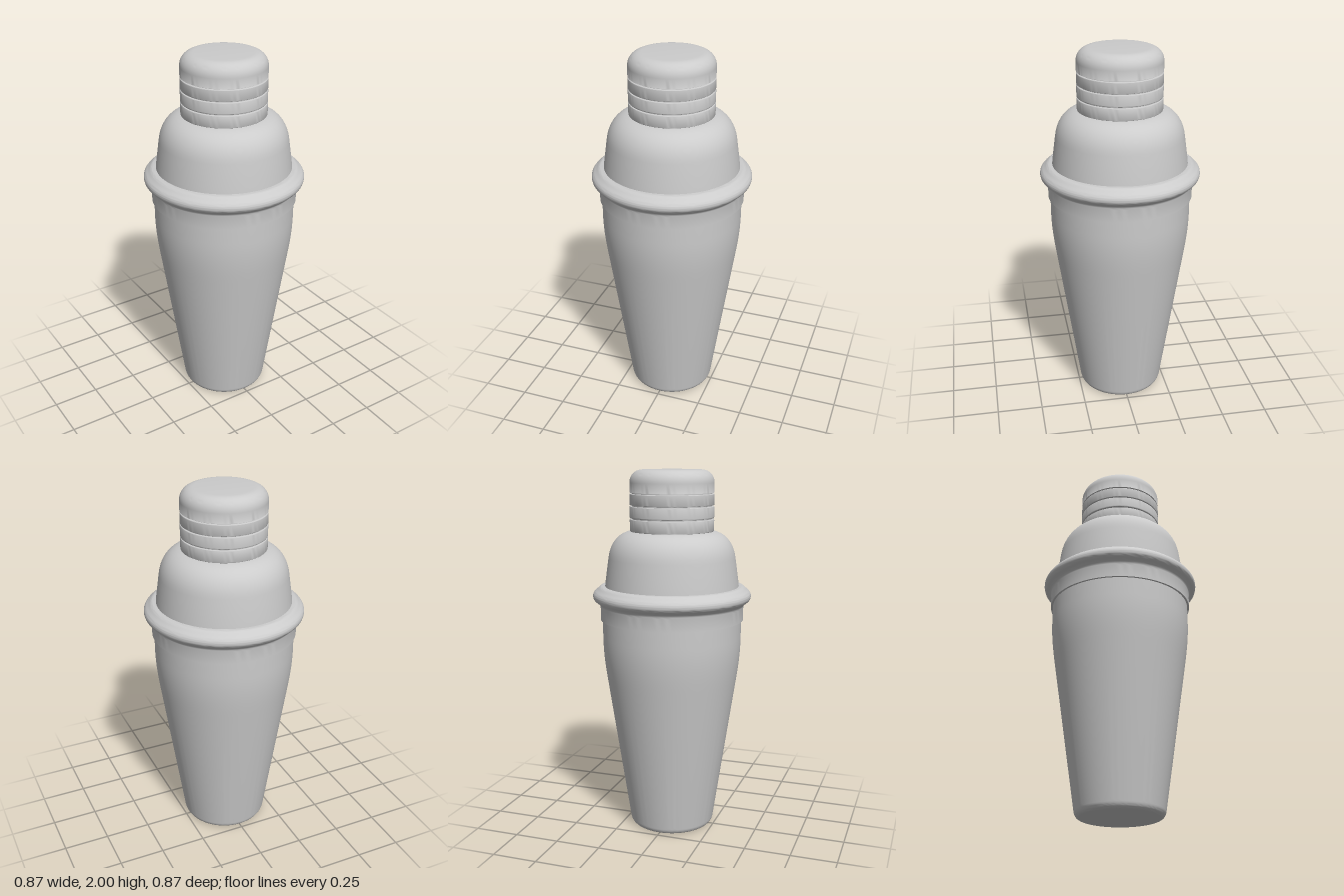
import * as THREE from 'three';
import { toCreasedNormals } from 'three/addons/utils/BufferGeometryUtils.js';

const material = new THREE.MeshStandardMaterial({ color: 0xcccccc });

// Revolves a profile drawn from bottom to top, keeping sharp corners sharp.
function turned(name, path) {
  const geometry = toCreasedNormals(new THREE.LatheGeometry(path.getPoints(10), 96), 0.6);
  const mesh = new THREE.Mesh(geometry, material);
  mesh.name = name;
  return mesh;
}

export function createModel() {
  const group = new THREE.Group();
  group.name = 'cocktailShaker';

  // Tapered cup with a rounded foot, straightening towards the rim
  const cup = new THREE.Path();
  cup.moveTo(0, 0);
  cup.lineTo(0.205, 0);
  cup.quadraticCurveTo(0.235, 0, 0.239, 0.04);
  cup.lineTo(0.358, 0.84);
  cup.bezierCurveTo(0.37, 0.92, 0.382, 1.0, 0.382, 1.1);
  cup.lineTo(0.382, 1.25);
  group.add(turned('cup', cup));

  // Collar band flaring into a rounded rim
  const collar = new THREE.Path();
  collar.moveTo(0.375, 1.193);
  collar.lineTo(0.393, 1.193);
  collar.lineTo(0.393, 1.262);
  collar.bezierCurveTo(0.393, 1.29, 0.42, 1.29, 0.43, 1.31);
  collar.bezierCurveTo(0.438, 1.33, 0.43, 1.345, 0.415, 1.356);
  collar.bezierCurveTo(0.4, 1.367, 0.395, 1.378, 0.38, 1.378);
  collar.lineTo(0.34, 1.378);
  group.add(turned('collar', collar));

  // Domed strainer shoulder
  const shoulder = new THREE.Path();
  shoulder.moveTo(0.368, 1.36);
  shoulder.lineTo(0.364, 1.4);
  shoulder.lineTo(0.346, 1.53);
  shoulder.bezierCurveTo(0.336, 1.61, 0.29, 1.674, 0.2, 1.677);
  shoulder.lineTo(0, 1.677);
  group.add(turned('shoulder', shoulder));

  // Cap: three rings parted by thin grooves, then a rounded top
  const cap = new THREE.Path();
  const r = 0.228, groove = 0.216, bevel = 0.006;
  cap.moveTo(0, 1.674);
  cap.lineTo(groove, 1.674);
  for (const [y0, y1] of [[1.674, 1.739], [1.745, 1.807], [1.813, 1.873]]) {
    cap.lineTo(groove, y0);
    cap.lineTo(r - 0.003, y0);
    cap.quadraticCurveTo(r, y0, r, y0 + bevel);
    cap.lineTo(r, y1 - bevel);
    cap.quadraticCurveTo(r, y1, r - 0.003, y1);
    cap.lineTo(groove, y1);
  }
  cap.lineTo(groove, 1.879);
  cap.lineTo(r, 1.879);
  cap.lineTo(r, 1.93);
  cap.bezierCurveTo(r, 1.968, 0.2, 2, 0.155, 2);
  cap.lineTo(0, 2);
  group.add(turned('cap', cap));

  return group;
}
